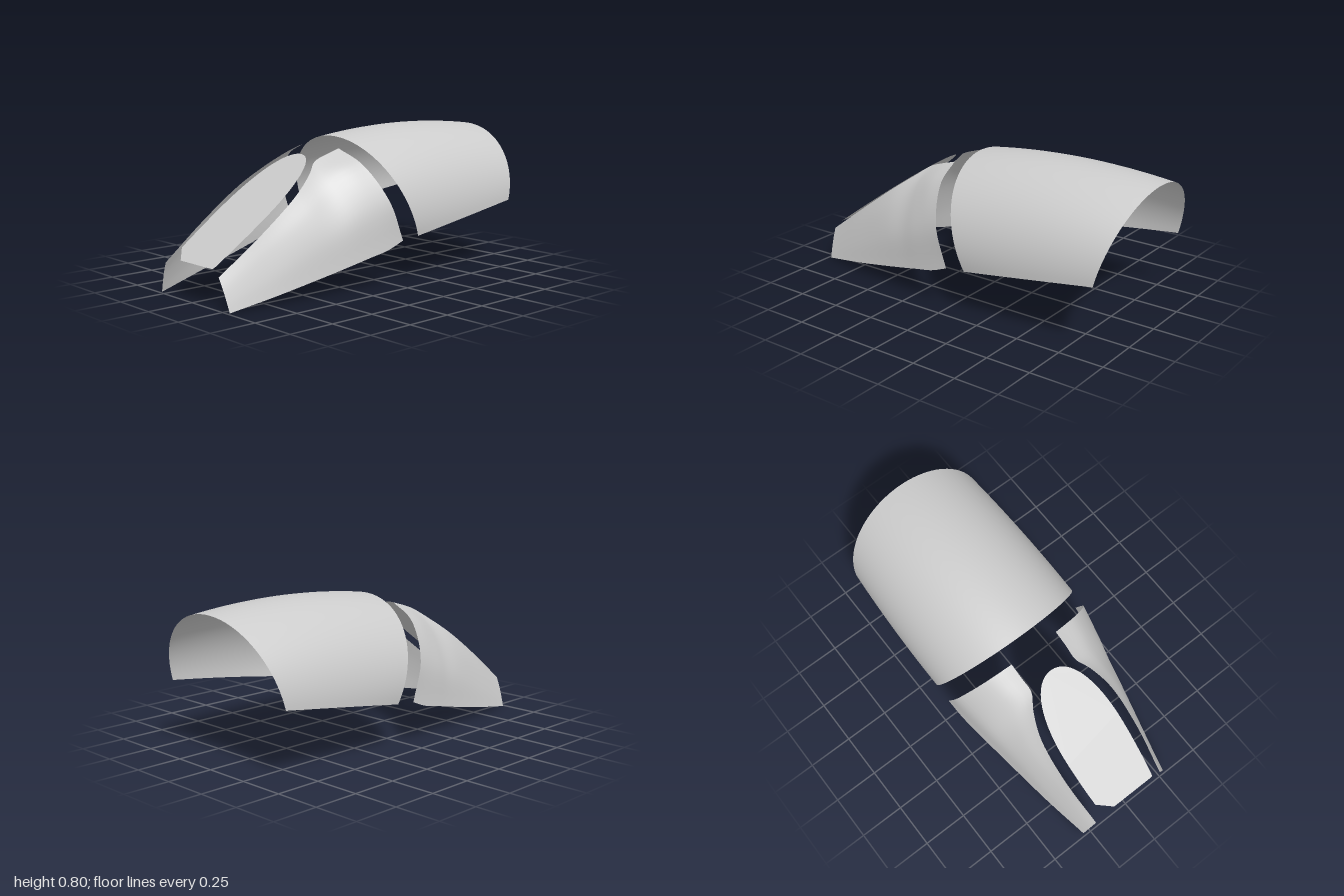
import * as THREE from 'three';

const V = (x, y, z) => new THREE.Vector3(x, y, z);
const mix = THREE.MathUtils.lerp;

// Smooth open sheet from point(u, v), with u and v running from 0 to 1
function sheet(nu, nv, point, flip = false) {
  const pos = [], index = [];
  for (let i = 0; i <= nu; i++)
    for (let j = 0; j <= nv; j++) pos.push(...point(i / nu, j / nv).toArray());
  for (let i = 0; i < nu; i++)
    for (let j = 0; j < nv; j++) {
      const a = i * (nv + 1) + j, b = a + 1, c = a + nv + 1, d = c + 1;
      if (flip) index.push(a, c, b, b, c, d);
      else index.push(a, b, c, b, d, c);
    }
  const geo = new THREE.BufferGeometry();
  geo.setAttribute('position', new THREE.Float32BufferAttribute(pos, 3));
  geo.setIndex(index);
  geo.computeVertexNormals();
  return geo;
}

// Rear hood: slanted elliptical arches swept from front to back
function hoodGeometry() {
  const top = new THREE.QuadraticBezierCurve3(V(0, 0.76, 0.08), V(0, 0.837, -0.46), V(0, 0.77, -1));
  const bottom = new THREE.QuadraticBezierCurve3(V(0, 0.25, -0.13), V(0, 0.31, -0.5), V(0, 0.36, -0.89));
  return sheet(24, 48, (u, v) => {
    const t = top.getPoint(u), b = bottom.getPoint(u);
    const centre = mix(0.33, 0.36, u);
    const width = 0.456 + 0.01 * u - 0.03 * u * u;
    const start = Math.asin((b.y - centre) / (t.y - centre));
    const angle = mix(start, Math.PI - start, v);
    const y = centre + (t.y - centre) * Math.sin(angle);
    return V(width * Math.cos(angle), y, mix(b.z, t.z, (y - b.y) / (t.y - b.y)));
  }, true);
}

// Side panel sections, rear to front: upper edge xyz, two xy points between, lower edge xyz
const sections = [
  [0.145, 0.71, 0.16, 0.30, 0.635, 0.43, 0.45, 0.45, 0.24, -0.015],
  [0.145, 0.685, 0.245, 0.287, 0.607, 0.412, 0.42, 0.442, 0.2, 0.09],
  [0.145, 0.655, 0.325, 0.272, 0.57, 0.395, 0.385, 0.428, 0.175, 0.2],
  [0.19, 0.6, 0.4, 0.29, 0.495, 0.38, 0.33, 0.41, 0.148, 0.31],
  [0.235, 0.51, 0.525, 0.305, 0.405, 0.36, 0.27, 0.387, 0.115, 0.45],
  [0.247, 0.35, 0.745, 0.284, 0.26, 0.319, 0.15, 0.34, 0.053, 0.73],
  [0.225, 0.165, 1, 0.25, 0.11, 0.272, 0.05, 0.288, 0, 0.985],
];

function sidePanelGeometry(side) {
  const rails = [0, 1, 2, 3].map((k) => new THREE.CatmullRomCurve3(sections.map((s) => {
    if (k === 0) return V(s[0], s[1], s[2]);
    if (k === 3) return V(s[7], s[8], s[9]);
    const x = s[1 + 2 * k], y = s[2 + 2 * k];
    return V(x, y, mix(s[9], s[2], (y - s[8]) / (s[1] - s[8])));
  })));
  return sheet(36, 16, (u, v) => {
    const p = new THREE.CatmullRomCurve3(rails.map((r) => r.getPoint(u))).getPoint(v);
    p.x *= side;
    return p;
  }, side > 0);
}

// Flat front pane: arched outline with one clipped lower corner, laid on a slope
function paneGeometry() {
  const s = new THREE.Shape();
  s.moveTo(-0.098, 0.195);
  s.lineTo(0.165, 0.195);
  s.quadraticCurveTo(0.173, 0.195, 0.175, 0.21);
  s.quadraticCurveTo(0.19, 0.32, 0.19, 0.41);
  s.bezierCurveTo(0.19, 0.57, 0.12, 0.68, 0, 0.68);
  s.bezierCurveTo(-0.12, 0.68, -0.19, 0.57, -0.19, 0.41);
  s.quadraticCurveTo(-0.19, 0.32, -0.18, 0.24);
  const geo = new THREE.ShapeGeometry(s, 16);
  const p = geo.attributes.position;
  for (let i = 0; i < p.count; i++) p.setZ(i, mix(0.995, 0.3, (p.getY(i) - 0.195) / 0.485));
  geo.computeVertexNormals();
  return geo;
}

export function createModel() {
  const grey = new THREE.MeshStandardMaterial({ color: 0xcccccc, side: THREE.DoubleSide });
  grey.name = 'light grey';
  const group = new THREE.Group();
  group.name = 'canopy';
  const add = (name, geo) => {
    const mesh = new THREE.Mesh(geo, grey);
    mesh.name = name;
    group.add(mesh);
  };
  add('rearHood', hoodGeometry());
  add('leftSidePanel', sidePanelGeometry(1));
  add('rightSidePanel', sidePanelGeometry(-1));
  add('frontPane', paneGeometry());
  return group;
}
